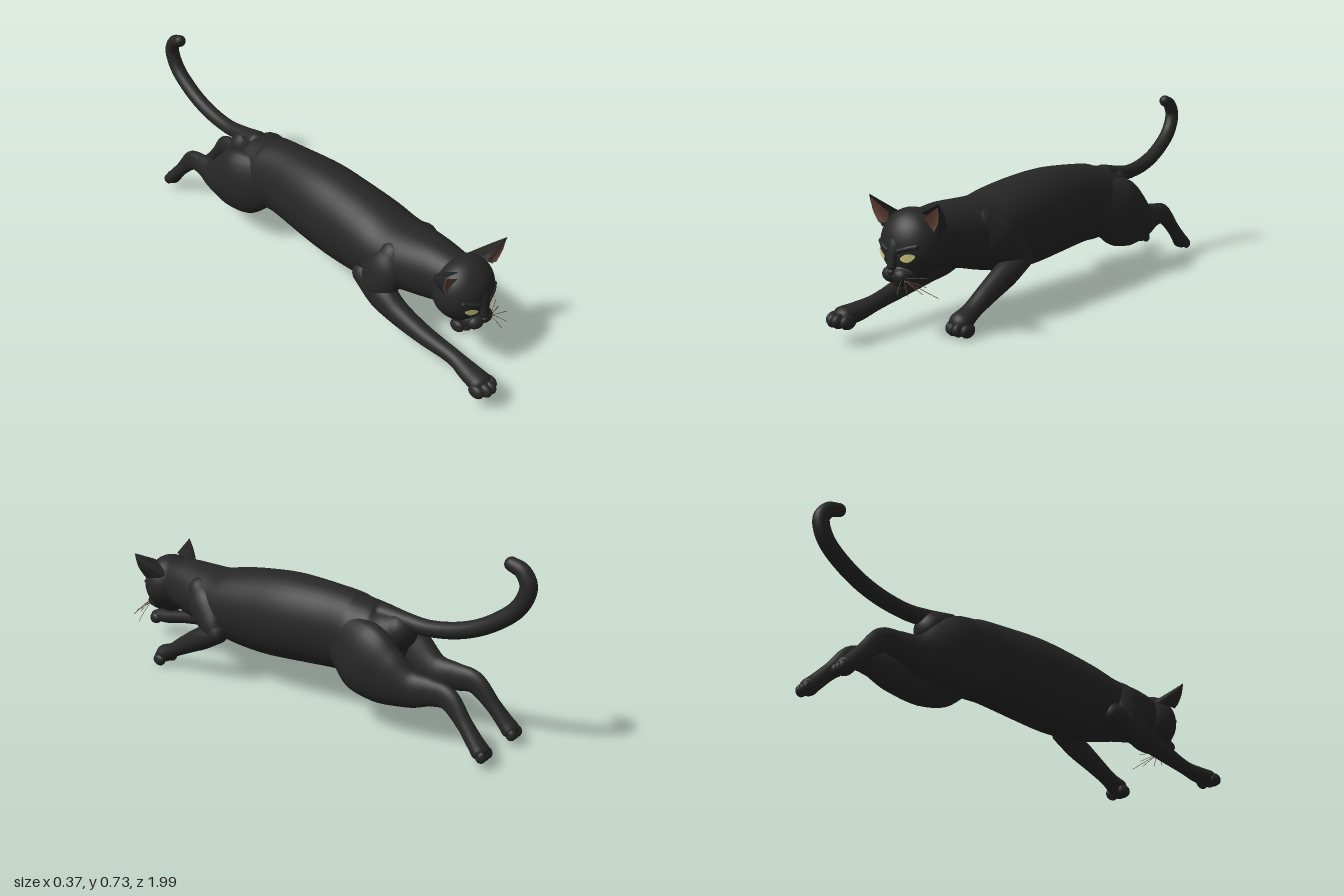
import * as THREE from 'three';

const mat = (name, color, side = THREE.FrontSide) => {
  const m = new THREE.MeshStandardMaterial({ color, side });
  m.name = name;
  return m;
};

// Smooth tube through stations [x, y, z, halfWidth, halfHeight] with rounded ends
function loft(stations, steps = 40, sides = 28) {
  const path = new THREE.CatmullRomCurve3(stations.map(s => new THREE.Vector3(s[0], s[1], s[2])), false, 'catmullrom');
  const size = new THREE.CatmullRomCurve3(stations.map(s => new THREE.Vector3(s[3], s[4], 0)), false, 'catmullrom');
  const rings = [];
  const add = (t, shift, scale) => {
    const r = size.getPoint(t), dir = path.getTangent(t);
    const c = path.getPoint(t).addScaledVector(dir, shift * Math.min(r.x, r.y));
    const side = new THREE.Vector3(1, 0, 0).addScaledVector(dir, -dir.x).normalize();
    rings.push({ c, side, up: dir.clone().cross(side), w: r.x * scale, h: r.y * scale });
  };
  const cap = 6;
  for (let i = 0; i < cap; i++) { const a = Math.PI / 2 * (1 - i / cap); add(0, -Math.sin(a), Math.cos(a)); }
  for (let i = 0; i <= steps; i++) add(i / steps, 0, 1);
  for (let i = 1; i <= cap; i++) { const a = Math.PI / 2 * i / cap; add(1, Math.sin(a), Math.cos(a)); }
  const pos = [], index = [];
  rings.forEach((r, i) => {
    for (let j = 0; j < sides; j++) {
      const a = j / sides * Math.PI * 2;
      const p = r.c.clone().addScaledVector(r.side, Math.cos(a) * r.w).addScaledVector(r.up, Math.sin(a) * r.h);
      pos.push(p.x, p.y, p.z);
      if (i === rings.length - 1) continue;
      const k = i * sides + j, n = i * sides + (j + 1) % sides;
      index.push(k, n, k + sides, n, n + sides, k + sides);
    }
  });
  return surface(pos, index);
}

function surface(pos, index) {
  const g = new THREE.BufferGeometry();
  g.setAttribute('position', new THREE.Float32BufferAttribute(pos, 3));
  g.setIndex(index);
  g.computeVertexNormals();
  return g;
}

// Skull: an ellipsoid narrowing towards the jaw
const HEAD = { y: 0.322, z: 0.73, rx: 0.122, ry: 0.128, rz: 0.103 };
const jaw = v => 1 - 0.22 * Math.max(0, -v) ** 2;
function faceZ(x, y) {
  const v = (y - HEAD.y) / HEAD.ry, u = x / (HEAD.rx * jaw(v));
  return HEAD.z + HEAD.rz * Math.sqrt(Math.max(0, 1 - u * u - v * v));
}

// Curved triangular ear sheet, hollow towards the front
function earSheet(s, a, b, tip, depth) {
  const pos = [], index = [], nu = 14, nt = 10;
  const A = new THREE.Vector3(...a), B = new THREE.Vector3(...b), T = new THREE.Vector3(...tip);
  for (let i = 0; i <= nt; i++) for (let j = 0; j <= nu; j++) {
    const t = i / nt, u = j / nu, bow = Math.sin(Math.PI * u);
    const p = A.clone().lerp(B, u);
    p.z -= depth * bow;
    p.y -= 0.015 * bow;
    p.lerp(T, t);
    p.x += 0.012 * Math.sin(Math.PI * t) * u;
    pos.push(s * p.x, p.y, p.z);
    if (i < nt && j < nu) {
      const k = i * (nu + 1) + j, n = k + nu + 1;
      if (s > 0) index.push(k, n, k + 1, k + 1, n, n + 1);
      else index.push(k, k + 1, n, k + 1, n + 1, n);
    }
  }
  return surface(pos, index);
}

export function createModel() {
  const fur = mat('black fur', 0x262626);
  const earFur = mat('black ear fur', 0x262626, THREE.DoubleSide);
  const earSkin = mat('brown ear skin', 0x5e4034, THREE.DoubleSide);
  const iris = mat('yellow eye', 0xdcd88c, THREE.DoubleSide);
  const hair = mat('brown whisker', 0x6a4a38);

  const cat = new THREE.Group();
  cat.name = 'leapingCat';
  const add = (name, geometry, material = fur) => {
    const m = new THREE.Mesh(geometry, material);
    m.name = name;
    cat.add(m);
    return m;
  };
  const ball = (name, x, y, z, rx, ry, rz) => {
    const m = add(name, new THREE.SphereGeometry(1, 24, 16));
    m.position.set(x, y, z);
    m.scale.set(rx, ry, rz);
    return m;
  };

  // Torso stations: z, top, bottom, half width
  add('torso', loft([
    [-0.47, 0.445, 0.30, 0.07], [-0.41, 0.468, 0.22, 0.11], [-0.31, 0.476, 0.165, 0.128],
    [-0.2, 0.49, 0.16, 0.126], [0, 0.50, 0.145, 0.145], [0.15, 0.49, 0.135, 0.149],
    [0.3, 0.47, 0.145, 0.15], [0.4, 0.45, 0.168, 0.145], [0.5, 0.448, 0.195, 0.13],
    [0.6, 0.45, 0.215, 0.108], [0.69, 0.44, 0.235, 0.09],
  ].map(([z, t, b, w]) => [0, (t + b) / 2, z, w, (t - b) / 2]), 70, 40));

  // Tail, curling up and forward at the tip
  add('tail', loft([
    [0, 0.425, -0.40, 0.045, 0.04], [0, 0.415, -0.50, 0.034, 0.034], [0, 0.41, -0.60, 0.031, 0.031],
    [0, 0.43, -0.72, 0.031, 0.031], [0, 0.475, -0.83, 0.031, 0.031], [0, 0.55, -0.93, 0.031, 0.031],
    [0, 0.63, -0.968, 0.03, 0.03], [0, 0.685, -0.945, 0.028, 0.028], [0, 0.705, -0.902, 0.025, 0.025],
  ], 60, 20));

  // Toes spread across the end of a paw
  const toes = (name, x, y, z, r) => {
    for (let i = 0; i < 4; i++) {
      const o = (i - 1.5) / 1.5;
      ball(name, x + o * r * 1.35, y - 0.004 * o * o, z - 0.018 * o * o, r * 0.72, r, r * 1.2);
    }
  };

  for (const s of [1, -1]) {
    const side = s > 0 ? 'left' : 'right';

    // Hind legs stretched backwards
    add(side + 'HindLeg', loft([
      [0.07, 0.32, -0.27, 0.055, 0.11], [0.093, 0.275, -0.38, 0.073, 0.145], [0.098, 0.232, -0.48, 0.066, 0.122],
      [0.092, 0.206, -0.58, 0.05, 0.078], [0.09, 0.213, -0.67, 0.034, 0.054], [0.094, 0.207, -0.745, 0.028, 0.044],
      [0.102, 0.14, -0.815, 0.028, 0.03], [0.108, 0.085, -0.865, 0.034, 0.029], [0.11, 0.06, -0.888, 0.039, 0.031],
    ].map(([x, ...r]) => [s * x, ...r]), 60));
    for (let i = 0; i < 3; i++) ball(side + 'HindToe', s * 0.11 + (i - 1) * 0.022, 0.049, -0.903, 0.016, 0.023, 0.02);

    // Shoulder and upper foreleg
    add(side + 'Shoulder', loft(s > 0
      ? [[0.075, 0.36, 0.47, 0.055, 0.06], [0.1, 0.31, 0.42, 0.062, 0.08], [0.125, 0.25, 0.36, 0.052, 0.065], [0.135, 0.218, 0.325, 0.044, 0.045]]
      : [[-0.075, 0.36, 0.46, 0.055, 0.06], [-0.1, 0.31, 0.45, 0.062, 0.085], [-0.12, 0.25, 0.44, 0.058, 0.08], [-0.13, 0.215, 0.43, 0.05, 0.06]]));

    // Ears with a brown hollow
    add(side + 'Ear', earSheet(s, [0.065, 0.44, 0.755], [0.128, 0.37, 0.752], [0.164, 0.484, 0.775], 0.085), earFur);
    add(side + 'InnerEar', earSheet(s, [0.083, 0.427, 0.765], [0.13, 0.385, 0.765], [0.157, 0.472, 0.773], 0.015), earSkin);

    // Slanted almond eyes laid on the face
    const eye = new THREE.CircleGeometry(1, 28), p = eye.attributes.position;
    for (let i = 0; i < p.count; i++) {
      const u = p.getX(i), v = p.getY(i);
      const x = 0.06 + 0.024 * u, y = 0.3 + 0.006 * u + v * (v > 0 ? 0.012 : 0.017) * (1 - 0.25 * u * u);
      p.setXYZ(i, s * x, y, faceZ(x, y) + 0.005);
    }
    eye.computeVertexNormals();
    add(side + 'Eye', eye, iris);

    // Brow ridge and whisker pad
    add(side + 'Brow', loft([[0.025, 0.318], [0.055, 0.328], [0.085, 0.335]]
      .map(([x, y]) => [s * x, y, faceZ(x, y) - 0.003, 0.008, 0.009]), 12, 12));
    ball(side + 'WhiskerPad', s * 0.024, 0.232, 0.812, 0.034, 0.028, 0.03);
  }

  // Left foreleg bent, right foreleg reaching forward
  add('leftForeleg', loft([
    [0.135, 0.214, 0.32, 0.044, 0.04], [0.138, 0.175, 0.41, 0.045, 0.048], [0.135, 0.123, 0.51, 0.038, 0.04],
    [0.132, 0.078, 0.59, 0.036, 0.032], [0.132, 0.05, 0.645, 0.044, 0.038],
  ]));
  toes('leftForeToe', 0.132, 0.032, 0.667, 0.026);
  add('rightForeleg', loft([
    [-0.115, 0.235, 0.36, 0.05, 0.05], [-0.13, 0.2, 0.46, 0.05, 0.064], [-0.134, 0.168, 0.55, 0.043, 0.048],
    [-0.128, 0.138, 0.67, 0.036, 0.036], [-0.117, 0.115, 0.80, 0.03, 0.029], [-0.122, 0.1, 0.88, 0.039, 0.033],
    [-0.128, 0.095, 0.935, 0.044, 0.034],
  ], 50));
  toes('rightForeToe', -0.128, 0.087, 0.967, 0.026);

  // Head, muzzle, nose and chin
  const skull = new THREE.SphereGeometry(1, 48, 36), q = skull.attributes.position;
  for (let i = 0; i < q.count; i++) {
    const v = q.getY(i);
    q.setXYZ(i, q.getX(i) * HEAD.rx * jaw(v), HEAD.y + v * HEAD.ry, HEAD.z + q.getZ(i) * HEAD.rz);
  }
  skull.computeVertexNormals();
  add('head', skull);
  add('noseBridge', loft([
    [0, 0.40, 0.785, 0.035, 0.015], [0, 0.34, 0.82, 0.026, 0.015], [0, 0.265, 0.833, 0.018, 0.015],
  ], 20, 20));
  ball('muzzle', 0, 0.235, 0.79, 0.064, 0.042, 0.045);
  ball('nose', 0, 0.247, 0.839, 0.014, 0.01, 0.01);
  ball('chin', 0, 0.208, 0.795, 0.032, 0.02, 0.03);

  // Whiskers on the left cheek
  const tips = [[0.158, 0.17, 0.78], [0.12, 0.232, 0.79], [0.14, 0.19, 0.83], [0.06, 0.185, 0.87], [0.125, 0.205, 0.80], [0.1, 0.185, 0.86]];
  tips.forEach((t, i) => {
    const root = new THREE.Vector3(0.042 + 0.003 * (i % 3), 0.222 + 0.006 * (i % 2), 0.825);
    const end = new THREE.Vector3(...t);
    const mid = root.clone().lerp(end, 0.5).add(new THREE.Vector3(0, 0.005, 0.005));
    add('whisker', new THREE.TubeGeometry(new THREE.QuadraticBezierCurve3(root, mid, end), 10, 0.0011, 5), hair);
  });

  return cat;
}
